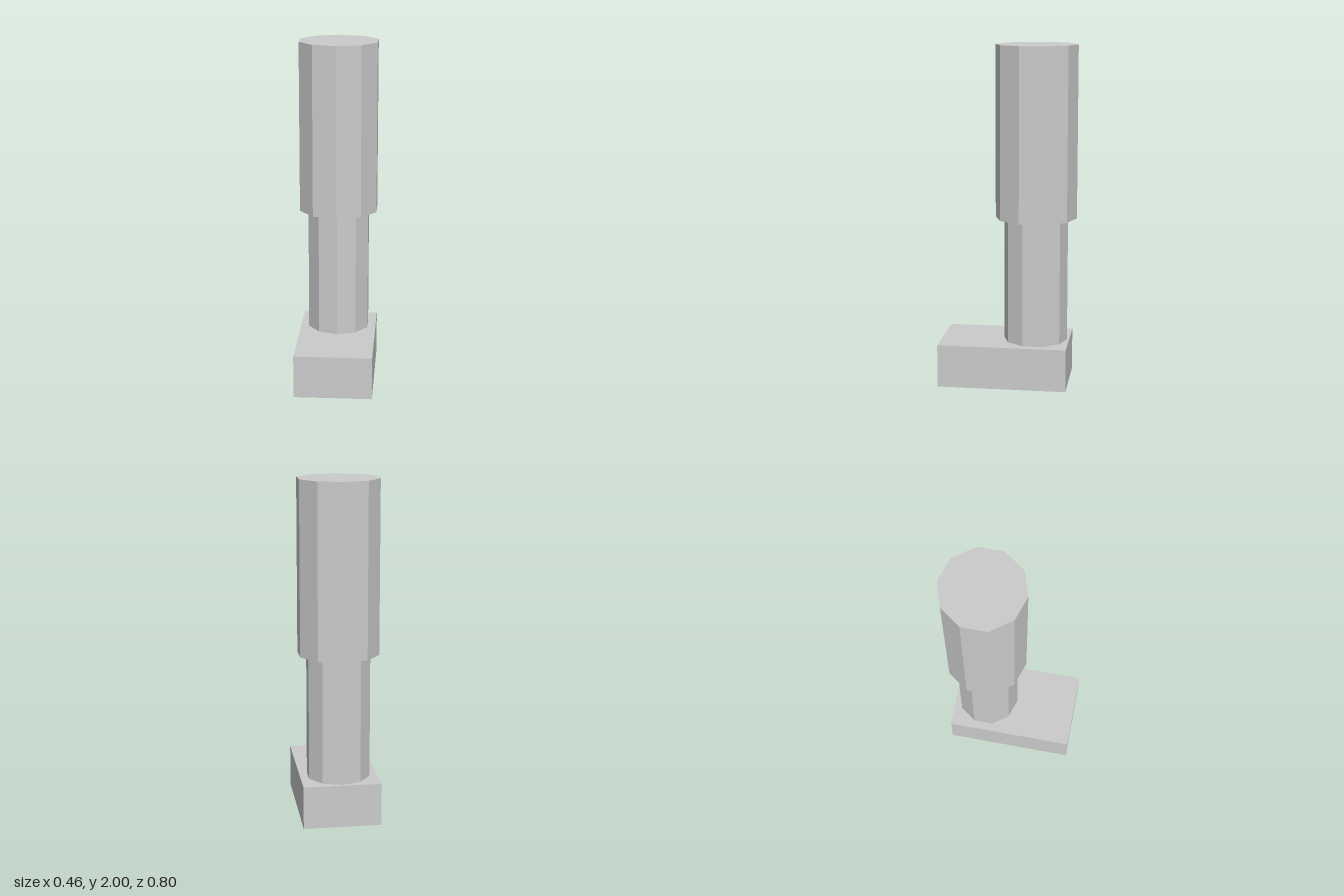
import * as THREE from 'three';

const SIDES = 10;
const LEG_Z = -0.159; // leg axis sits toward the heel

export function createModel() {
  const group = new THREE.Group();
  const material = new THREE.MeshStandardMaterial({ color: 0xcccccc, flatShading: true });

  const add = (name, geometry, y, z) => {
    const mesh = new THREE.Mesh(geometry, material);
    mesh.name = name;
    mesh.position.set(0, y, z);
    group.add(mesh);
  };

  // Ten-sided leg section between two heights, one corner facing forward
  const addSection = (name, radius, bottom, top) =>
    add(name, new THREE.CylinderGeometry(radius, radius, top - bottom, SIDES), (bottom + top) / 2, LEG_Z);

  // Block foot reaching forward of the leg
  add('foot', new THREE.BoxGeometry(0.455, 0.253, 0.757), 0.1265, 0.0185);

  addSection('lowerLeg', 0.188, 0.253, 0.99);
  addSection('upperLeg', 0.24, 0.99, 2);

  return group;
}
